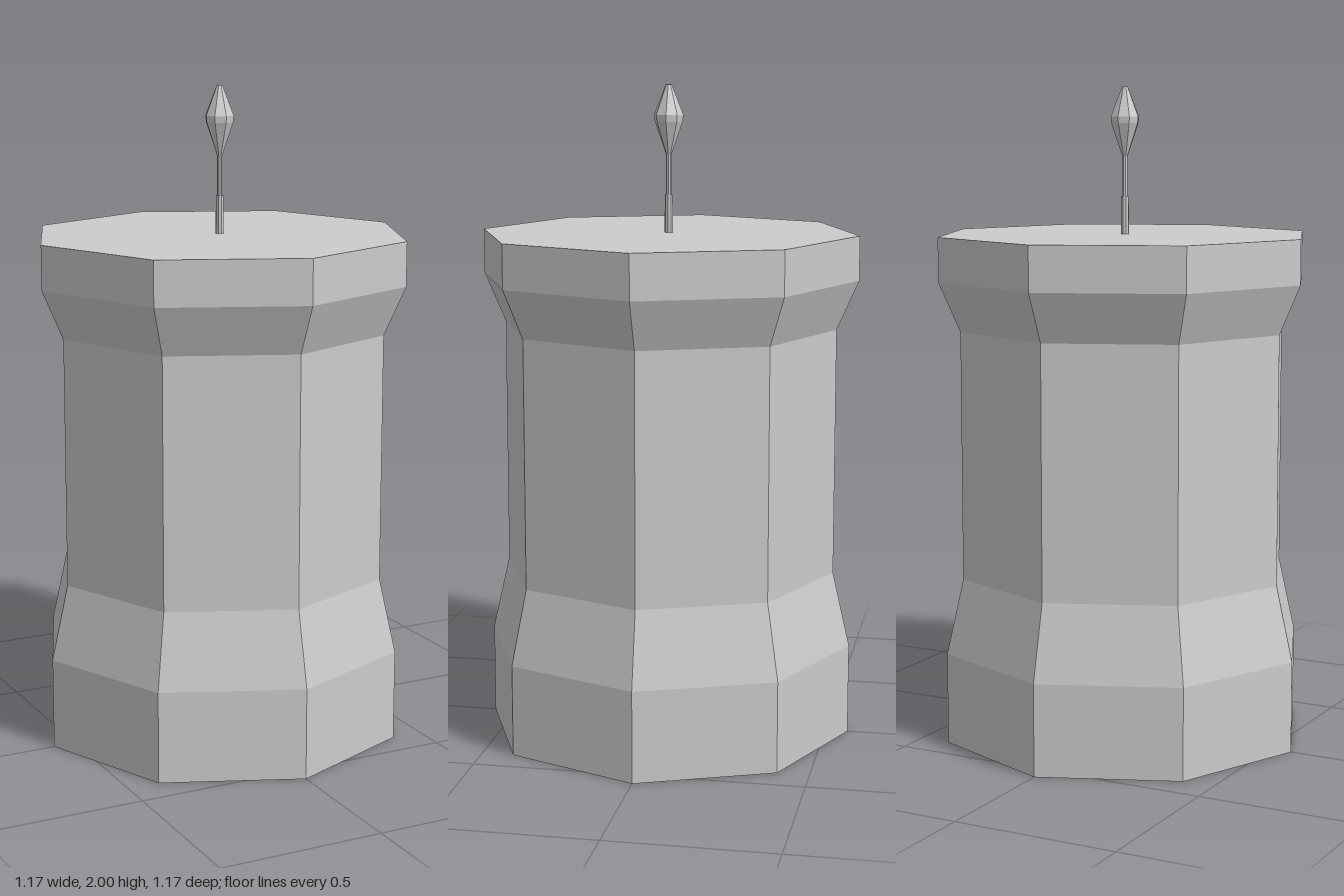
import * as THREE from 'three';

const SIDES = 8;

// Faceted solid of revolution from [radius, height] pairs, bottom to top
function turned(name, profile, material) {
  const points = profile.map(([r, y]) => new THREE.Vector2(r, y));
  const mesh = new THREE.Mesh(new THREE.LatheGeometry(points, SIDES), material);
  mesh.name = name;
  return mesh;
}

export function createModel() {
  const group = new THREE.Group();
  group.name = 'tower';
  const material = new THREE.MeshStandardMaterial({ color: 0xcccccc, flatShading: true });

  // Octagonal body: plinth, sloped foot, shaft, flared cornice, flat roof
  group.add(turned('towerBody', [
    [0, 0], [0.57, 0], [0.57, 0.28], [0.517, 0.51],
    [0.517, 1.27], [0.583, 1.42], [0.583, 1.555], [0, 1.555],
  ], material));

  // Thicker socket that holds the pole
  group.add(turned('poleSocket', [
    [0.013, 1.555], [0.012, 1.67], [0, 1.67],
  ], material));

  // Slim pole
  group.add(turned('pole', [[0.008, 1.66], [0.008, 1.8]], material));

  // Spindle-shaped finial with a blunt tip
  group.add(turned('finial', [
    [0, 1.79], [0.008, 1.79], [0.043, 1.89], [0.045, 1.91], [0.013, 1.99], [0.009, 2], [0, 2],
  ], material));

  return group;
}
